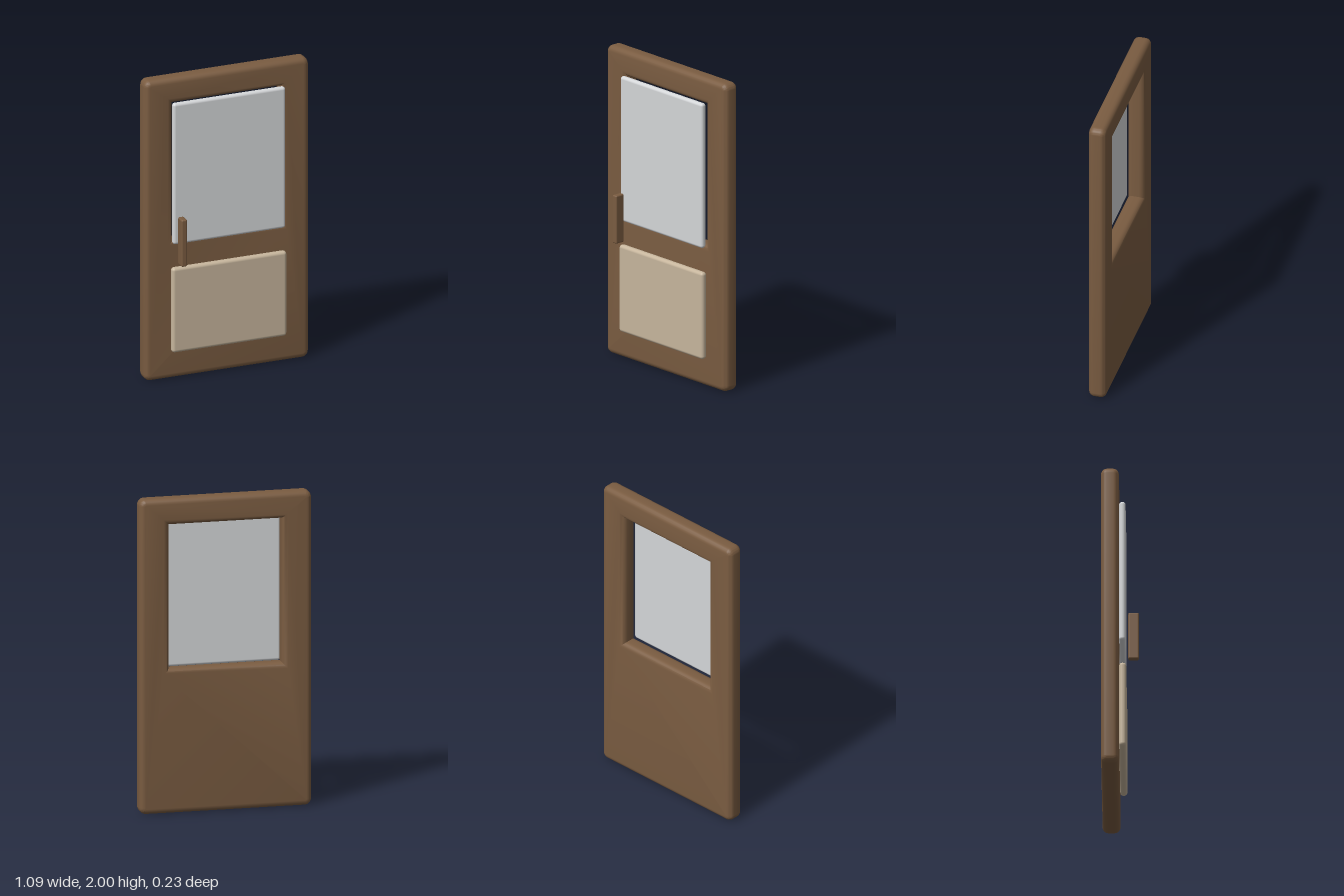
import * as THREE from 'three';
import { toCreasedNormals } from 'three/addons/utils/BufferGeometryUtils.js';
import { RoundedBoxGeometry } from 'three/addons/geometries/RoundedBoxGeometry.js';

function material(name, color) {
  const m = new THREE.MeshStandardMaterial({ color });
  m.name = name;
  return m;
}

// Rounded block given by its min and max corners
function block(name, min, max, radius, mat) {
  const size = max.map((v, i) => v - min[i]);
  const mesh = new THREE.Mesh(new RoundedBoxGeometry(...size, 4, radius), mat);
  mesh.position.set(...max.map((v, i) => (v + min[i]) / 2));
  mesh.name = name;
  return mesh;
}

// Rectangle outline with rounded corners
function roundedRect(path, x0, y0, x1, y1, r) {
  path.absarc(x1 - r, y0 + r, r, -Math.PI / 2, 0);
  path.absarc(x1 - r, y1 - r, r, 0, Math.PI / 2);
  path.absarc(x0 + r, y1 - r, r, Math.PI / 2, Math.PI);
  path.absarc(x0 + r, y0 + r, r, Math.PI, Math.PI * 1.5);
  path.closePath();
  return path;
}

export function createModel() {
  const wood = material('brown wood', 0x7a5c41);
  const glass = material('pale grey glass', 0xd4d6d8);
  const tan = material('tan panel', 0xc6b59c);
  const door = new THREE.Group();
  door.name = 'door';

  // Door leaf with a window opening, rounded by the bevel on every edge
  const bevel = 0.035;
  const outline = roundedRect(new THREE.Shape(), -0.545 + bevel, bevel, 0.545 - bevel, 2 - bevel, 0.008);
  const opening = new THREE.Path();
  opening.moveTo(-0.393, 0.882);
  opening.lineTo(-0.393, 1.868);
  opening.lineTo(0.393, 1.868);
  opening.lineTo(0.393, 0.882);
  opening.closePath();
  outline.holes.push(opening);
  const leafGeometry = new THREE.ExtrudeGeometry(outline, {
    depth: 0.04, bevelThickness: bevel, bevelSize: bevel, bevelSegments: 5, curveSegments: 5,
  });
  const leaf = new THREE.Mesh(toCreasedNormals(leafGeometry, 0.7), wood);
  leaf.position.z = -0.116 + bevel;
  leaf.name = 'doorLeaf';
  door.add(leaf);

  // Pane, lower panel and upright handle on the front
  door.add(
    block('windowPane', [-0.373, 0.905, -0.006], [0.373, 1.845, 0.034], 0.018, glass),
    block('lowerPanel', [-0.38, 0.185, -0.006], [0.38, 0.75, 0.038], 0.02, tan),
    block('handle', [-0.351, 0.786, 0.05], [-0.314, 1.098, 0.116], 0.009, wood),
  );
  return door;
}
